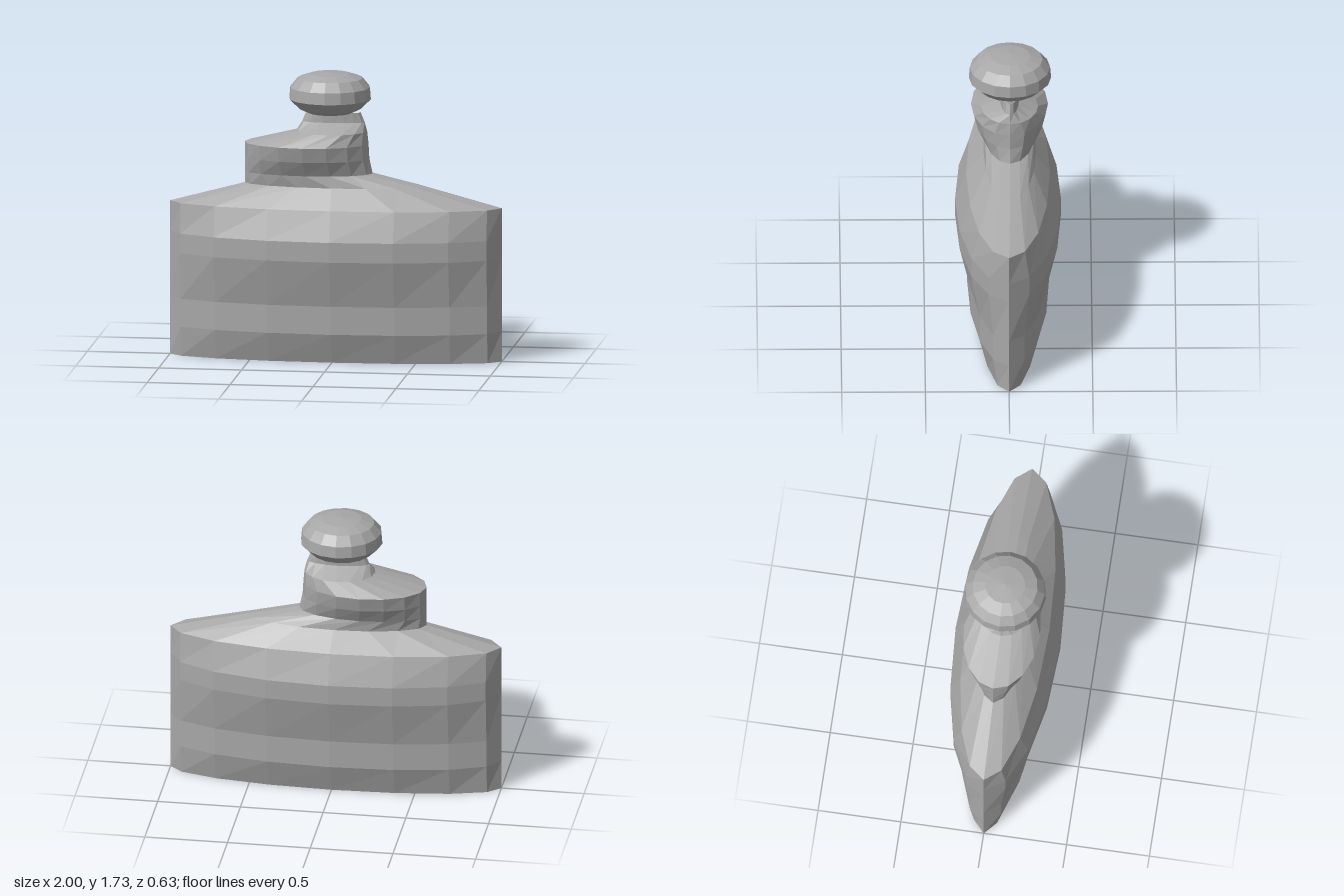
import * as THREE from 'three';

const SIDES = 16;

// Lofts elliptical rings [y, xMin, xMax, halfDepth, zCentre] from bottom to top.
function loft(rings, capBottom, capTop) {
  const pos = [];
  const point = ([y, x0, x1, hz, z], j) => {
    const a = (j / SIDES) * Math.PI * 2;
    return [(x0 + x1) / 2 + Math.cos(a) * (x1 - x0) / 2, y, z + Math.sin(a) * hz];
  };
  const tri = (...corners) => corners.forEach((p) => pos.push(...p));
  const centre = ([y, x0, x1, , z]) => [(x0 + x1) / 2, y, z];
  const first = rings[0], last = rings[rings.length - 1];
  for (let j = 0; j < SIDES; j++) {
    for (let i = 0; i < rings.length - 1; i++) {
      const a = point(rings[i], j), b = point(rings[i], j + 1);
      const c = point(rings[i + 1], j), d = point(rings[i + 1], j + 1);
      tri(a, c, b);
      tri(b, c, d);
    }
    if (capBottom) tri(centre(first), point(first, j), point(first, j + 1));
    if (capTop) {
      const peak = centre(last);
      peak[1] += capTop;
      tri(peak, point(last, j + 1), point(last, j));
    }
  }
  const geometry = new THREE.BufferGeometry();
  geometry.setAttribute('position', new THREE.Float32BufferAttribute(pos, 3));
  geometry.computeVertexNormals();
  return geometry;
}

export function createModel() {
  const group = new THREE.Group();
  const grey = new THREE.MeshStandardMaterial({ color: 0xa8a8a8, flatShading: true });
  grey.name = 'grey';
  const add = (name, geometry) => {
    const mesh = new THREE.Mesh(geometry, grey);
    mesh.name = name;
    group.add(mesh);
  };

  // Wide lens-shaped body with sloping shoulders
  const collar = [1.12, -0.55, 0.22, 0.155, -0.01];
  add('body', loft([
    [0, -1, 1, 0.18, 0],
    [0.18, -1, 1, 0.245, 0],
    [0.35, -1, 1, 0.245, 0],
    [0.63, -1, 1, 0.316, 0],
    [0.75, -1, 1, 0.316, 0],
    [0.93, -1, 1, 0.25, 0],
    [1.05, -0.55, 0.53, 0.155, -0.01],
    collar,
  ], true, 0));

  // Bulging off-centre neck narrowing to a thin blade under the knob
  add('neck', loft([
    collar,
    [1.21, -0.55, 0.2, 0.205, -0.01],
    [1.3, -0.55, 0.195, 0.23, -0.01],
    [1.375, -0.24, 0.187, 0.17, -0.01],
    [1.43, -0.205, 0.172, 0.057, -0.01],
    [1.49, -0.18, 0.148, 0.057, -0.01],
  ], false, 0));

  // Round flattened knob on top
  const profile = [[1.485, 0.13], [1.51, 0.185], [1.57, 0.246], [1.64, 0.24], [1.695, 0.195], [1.72, 0.12]];
  add('knob', loft(profile.map(([y, r]) => [y, -0.037 - r, -0.037 + r, r, -0.012]), true, 0.01));

  return group;
}
